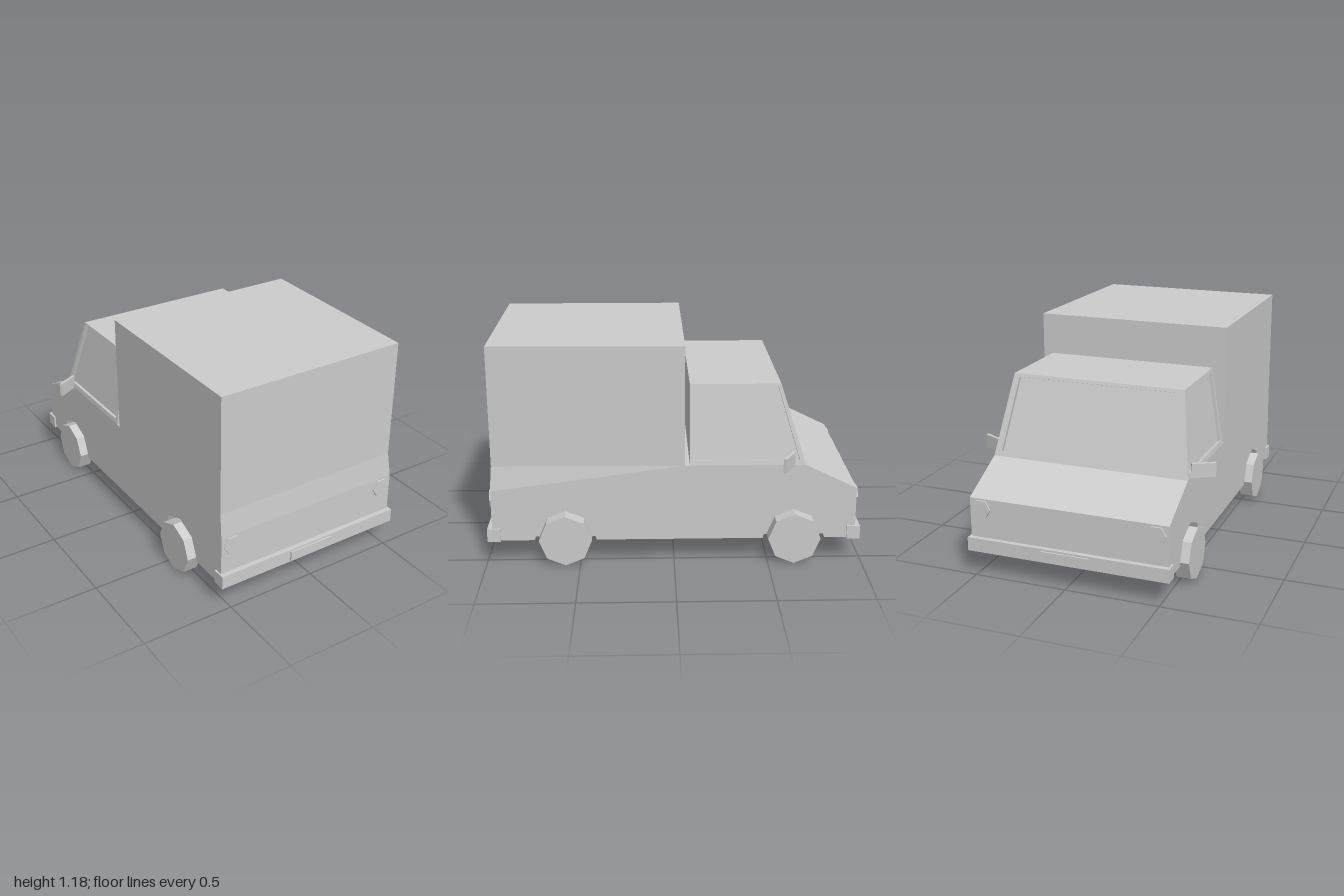
import * as THREE from 'three';

const W = 0.537; // half width of the body
const V = (x, y, z) => new THREE.Vector3(x, y, z);

// Flat-shaded geometry from a list of four-cornered faces
function fromQuads(quads) {
  const pts = quads.flatMap(([a, b, c, d]) => [a, b, c, a, c, d]);
  const g = new THREE.BufferGeometry().setFromPoints(pts);
  g.computeVertexNormals();
  return g;
}

// Six-sided block between two rings; skip lists side faces to leave open
function block(b, t, skip = []) {
  const quads = [[b[3], b[2], b[1], b[0]], t];
  for (let i = 0; i < 4; i++) {
    const j = (i + 1) % 4;
    if (!skip.includes(i)) quads.push([b[i], b[j], t[j], t[i]]);
  }
  return fromQuads(quads);
}

// Rectangle ring at height y, from z0 (rear) to z1 (nose)
const ring = (y, z0, z1, w = W, rearW = w) =>
  [V(-w, y, z0), V(rearW, y, z0), V(w, y, z1), V(-w, y, z1)];

// Frame around a recessed pane: returns both geometries
function recessedPane([a, b, c, d], u, v0, v1, depth) {
  const at = (s, t) => a.clone().lerp(b, s).lerp(d.clone().lerp(c, s), t);
  const outer = [a, b, c, d];
  const inner = [at(u, v0), at(1 - u, v0), at(1 - u, v1), at(u, v1)];
  const n = b.clone().sub(a).cross(d.clone().sub(a)).normalize();
  const deep = inner.map(p => p.clone().addScaledVector(n, -depth));
  const quads = [];
  for (let i = 0; i < 4; i++) {
    const j = (i + 1) % 4;
    quads.push([outer[i], outer[j], inner[j], inner[i]], [inner[i], inner[j], deep[j], deep[i]]);
  }
  return { frame: fromQuads(quads), pane: fromQuads([deep]) };
}

export function createModel() {
  const group = new THREE.Group();
  const grey = new THREE.MeshStandardMaterial({ color: 0xcccccc });
  grey.name = 'grey';

  function add(name, geometry, x = 0, y = 0, z = 0) {
    const g = geometry.index ? geometry.toNonIndexed() : geometry;
    g.computeVertexNormals();
    const mesh = new THREE.Mesh(g, grey);
    mesh.name = name;
    mesh.position.set(x, y, z);
    group.add(mesh);
    return mesh;
  }

  const axles = [0.577, -0.638];

  // Lower body: inner core plus side skins with octagonal wheel arches
  add('bodyCore', new THREE.BoxGeometry(0.98, 0.28, 1.93), 0, 0.27, 0);
  const side = new THREE.Shape();
  side.moveTo(-0.965, 0.13);
  for (const z of axles) {
    side.lineTo(-z - 0.163, 0.13);
    for (let i = 4; i >= 0; i--) {
      const a = i * Math.PI / 4;
      side.lineTo(-z + 0.163 * Math.cos(a), 0.14 + 0.163 * Math.sin(a));
    }
    side.lineTo(-z + 0.163, 0.13);
  }
  side.lineTo(0.965, 0.13);
  side.lineTo(0.965, 0.41);
  side.lineTo(-0.965, 0.41);
  for (const s of [1, -1]) {
    const skin = new THREE.ExtrudeGeometry(side, { depth: 0.047, bevelEnabled: false });
    skin.rotateY(Math.PI / 2);
    add(s > 0 ? 'leftBodySide' : 'rightBodySide', skin, s > 0 ? W - 0.047 : -W);
  }

  // Sloping hood and cab base
  add('hood', block(ring(0.41, -0.055, -0.965), ring(0.545, -0.055, -0.69)));

  // Cargo box, its left rear corner drawn slightly inward
  add('cargoBase', block(ring(0.41, 0.965, -0.055), ring(0.545, 0.955, -0.055, W, 0.519)));
  add('cargoBox', block(ring(0.545, 0.955, -0.055, W, 0.519), ring(1.185, 0.955, -0.055, W, 0.519)));

  // Tapered cab with recessed windscreen and side windows
  const b = ring(0.545, -0.082, -0.69), t = ring(0.968, -0.082, -0.555, 0.47);
  add('cabShell', block(b, t, [1, 2, 3]));
  const openings = [['leftWindow', 1, 0.04, 0.06, 0.97], ['windscreen', 2, 0.035, 0.06, 0.96], ['rightWindow', 3, 0.04, 0.06, 0.97]];
  for (const [name, i, u, v0, v1] of openings) {
    const j = (i + 1) % 4;
    const { frame, pane } = recessedPane([b[i], b[j], t[j], t[i]], u, v0, v1, 0.018);
    add(name + 'Frame', frame);
    add(name, pane);
  }

  // Wheels
  for (const z of axles) for (const s of [1, -1]) {
    const wheel = new THREE.CylinderGeometry(0.14, 0.14, 0.077, 8).rotateZ(Math.PI / 2);
    add(z > 0 ? 'rearWheel' : 'frontWheel', wheel, s * 0.5385, 0.14, z);
  }

  // Bumpers, plates and hexagonal lamps at both ends
  for (const e of [1, -1]) {
    const end = e > 0 ? 'rear' : 'front';
    add(end + 'Bumper', new THREE.BoxGeometry(1.094, 0.073, 0.07), 0, 0.162, e * 0.956);
    add(end + 'Plate', new THREE.BoxGeometry(0.26, 0.054, 0.009), 0, 0.161, e * 0.9955);
    for (const s of [1, -1]) {
      const lamp = new THREE.CylinderGeometry(0.052, 0.052, 0.02, 6).rotateY(Math.PI / 2).rotateX(Math.PI / 2);
      add(end + 'Lamp', lamp, s * 0.473, 0.355, e * 0.965);
    }
  }

  // Door mirrors, swept back
  for (const s of [1, -1]) {
    const mirror = add('mirror', new THREE.BoxGeometry(0.125, 0.075, 0.016), s * 0.588, 0.577, -0.595);
    mirror.rotation.y = -s * 0.5;
  }

  return group;
}
